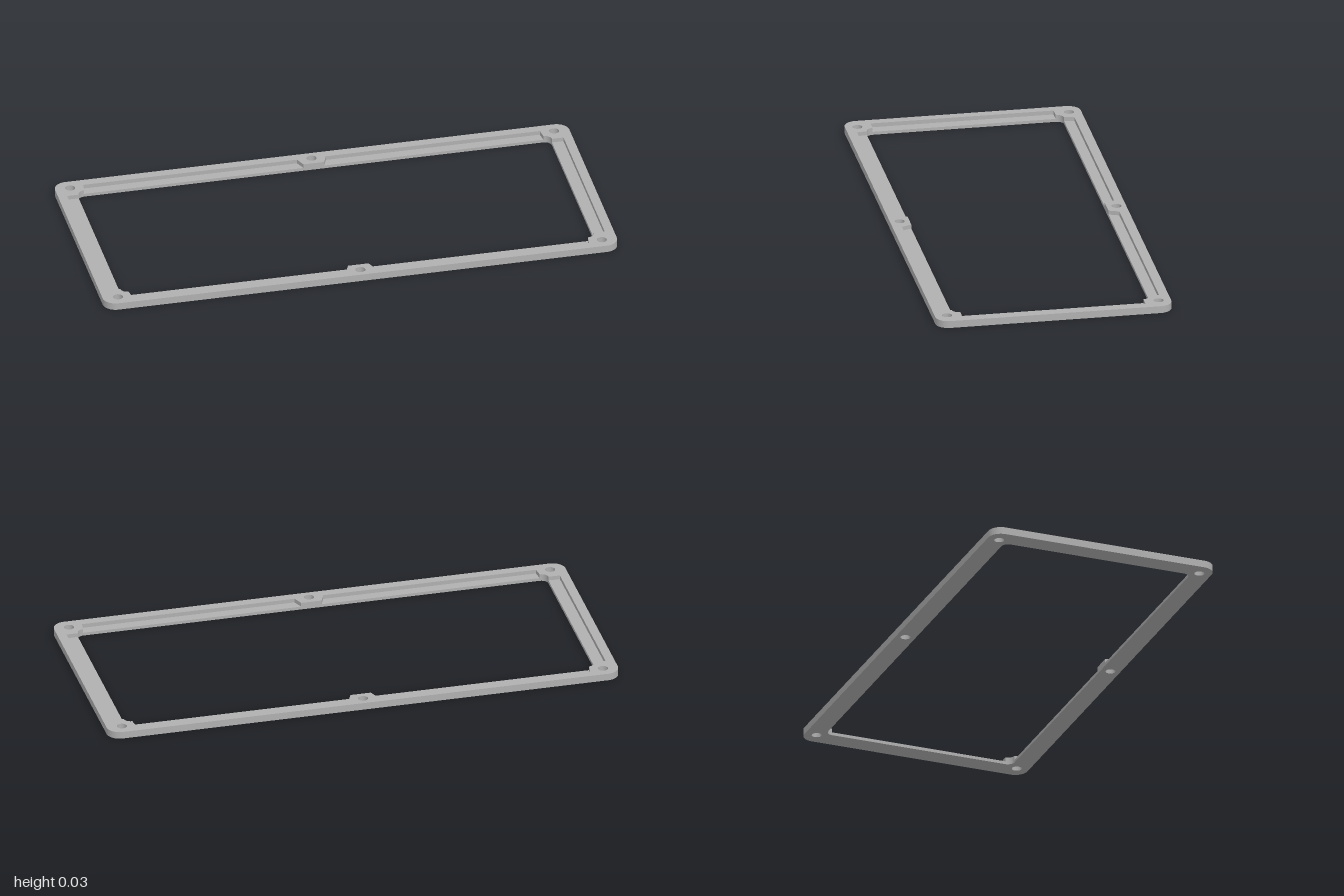
import * as THREE from 'three';
import { toCreasedNormals } from 'three/addons/utils/BufferGeometryUtils.js';

const W = 1, D = 0.455, H = 0.028;      // half width, half depth, height
const LEDGE = 0.012;                    // height of the recessed ledge
const IX = 0.92, IZ = 0.38;             // half size of the opening
const SX = 0.965, SZ = 0.419;           // half size of the recess
const R = 0.027, OUTER_R = 0.05, HOLE_R = 0.019;

// Extrude a plan (x, z) upward from y = 0
function slab(shape, height) {
  const g = new THREE.ExtrudeGeometry(shape, { depth: height, bevelEnabled: false, curveSegments: 12 });
  g.rotateX(Math.PI / 2).translate(0, height, 0);
  return toCreasedNormals(g, 0.5);
}

function roundedRect(w, d, r) {
  const s = new THREE.Shape();
  s.absarc(w - r, d - r, r, 0, Math.PI / 2);
  s.absarc(-w + r, d - r, r, Math.PI / 2, Math.PI);
  s.absarc(-w + r, -d + r, r, Math.PI, Math.PI * 1.5);
  s.absarc(w - r, -d + r, r, Math.PI * 1.5, Math.PI * 2);
  s.closePath();
  return s;
}

export function createModel() {
  const grey = new THREE.MeshStandardMaterial({ color: 0xb0b0b0 });
  grey.name = 'grey';
  const group = new THREE.Group();
  group.name = 'mountingFrame';
  const add = (name, shape, height) => {
    const mesh = new THREE.Mesh(slab(shape, height), grey);
    mesh.name = name;
    group.add(mesh);
  };

  // One quarter of the inner outline: middle boss, recess, rounded corner boss
  const recess = [[0.04, IZ], [0.056, SZ], [0.888, SZ], [IX - R, IZ]];
  const quarter = [...recess];
  for (let i = 1; i <= 6; i++) {
    const a = (Math.PI / 2) * (1 - i / 6);
    quarter.push([IX - R + R * Math.cos(a), IZ - R + R * Math.sin(a)]);
  }
  quarter.push([SX, IZ - R]);

  // Mirror the quarter into a closed loop
  const flip = (pts, sx, sz) => pts.map(([x, z]) => new THREE.Vector2(x * sx, z * sz));
  const back = [...quarter].reverse();
  const inner = [...flip(quarter, 1, 1), ...flip(back, 1, -1), ...flip(quarter, -1, -1), ...flip(back, -1, 1)];

  // Full-height rim with bosses and screw holes
  const rim = roundedRect(W, D, OUTER_R);
  rim.holes.push(new THREE.Path(inner));
  for (const sz of [-1, 1]) {
    for (const [x, z] of [[-0.941, 0.408], [0, 0.418], [0.941, 0.408]]) {
      const hole = new THREE.Path();
      hole.absarc(x, z * sz, HOLE_R, 0, Math.PI * 2);
      rim.holes.push(hole);
    }
  }
  add('rim', rim, H);

  // Low ledges filling the recesses
  for (const sx of [-1, 1]) {
    for (const sz of [-1, 1]) {
      add(`${sz > 0 ? 'front' : 'back'}${sx > 0 ? 'Left' : 'Right'}Ledge`, new THREE.Shape(flip(recess, sx, sz)), LEDGE);
    }
    const side = [[IX, -IZ + R], [SX, -IZ + R], [SX, IZ - R], [IX, IZ - R]];
    add(sx > 0 ? 'leftLedge' : 'rightLedge', new THREE.Shape(flip(side, sx, 1)), LEDGE);
  }
  return group;
}
